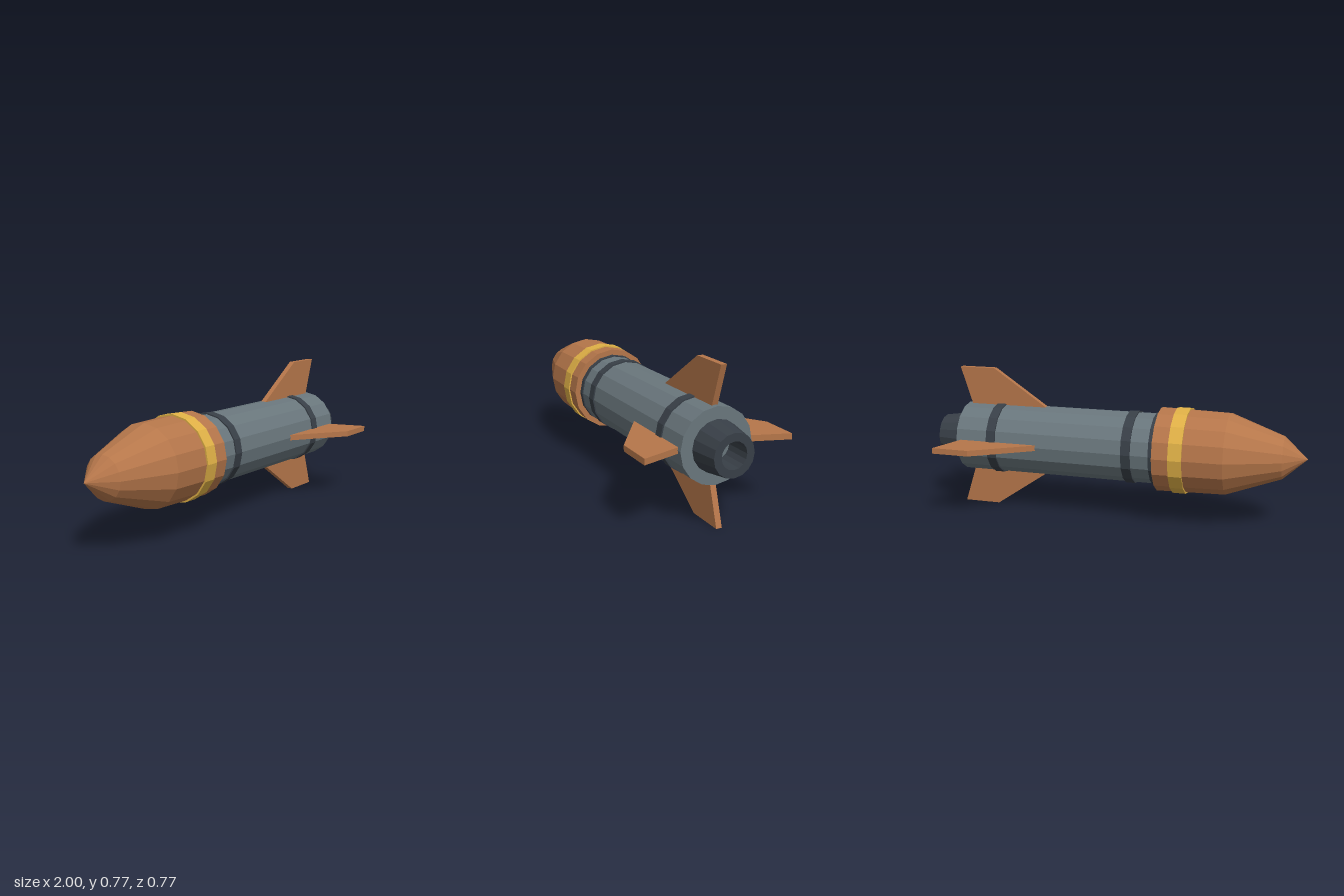
import * as THREE from 'three';

const SIDES = 16;
const AXIS_Y = 0.385;

const material = (color) => new THREE.MeshStandardMaterial({ color, flatShading: true });
const copper = material(0xb5764a);
const steel = material(0x69767c);
const dark = material(0x383f47);
const gold = material(0xdfb046);

// Turned part around the x axis; profile is [x, radius] from nose to tail
function turned(name, profile, mat) {
  const points = profile.map(([x, r]) => new THREE.Vector2(r, x));
  const mesh = new THREE.Mesh(new THREE.LatheGeometry(points, SIDES), mat);
  mesh.rotation.z = -Math.PI / 2;
  mesh.name = name;
  return mesh;
}

// Closed band wrapped around the hull
const band = (name, x0, x1, r, inner, mat) =>
  turned(name, [[x0, inner], [x0, r], [x1, r], [x1, inner]], mat);

export function createModel() {
  const model = new THREE.Group();
  model.name = 'rocket';
  const hull = new THREE.Group();
  hull.name = 'hull';
  hull.position.y = AXIS_Y;
  model.add(hull);

  // Pointed head with its gold band
  hull.add(turned('noseCone', [
    [-1, 0], [-0.88, 0.11], [-0.6, 0.213], [-0.24, 0.222], [-0.24, 0],
  ], copper));
  hull.add(band('goldBand', -0.395, -0.325, 0.227, 0.2, gold));

  // Cylindrical body and dark rings
  hull.add(turned('body', [[-0.26, 0], [-0.26, 0.187], [0.855, 0.187], [0.855, 0]], steel));
  hull.add(band('neckCollar', -0.245, -0.215, 0.193, 0.17, dark));
  hull.add(band('frontRing', -0.12, -0.07, 0.194, 0.17, dark));
  hull.add(band('rearRing', 0.63, 0.68, 0.194, 0.17, dark));

  // Hollow tapered nozzle
  hull.add(turned('nozzle', [
    [0.855, 0.127], [1, 0.105], [1, 0.066], [0.855, 0.066],
  ], dark));

  // Four swept fins
  const outline = new THREE.Shape([
    [0.385, 0.175], [0.827, 0.175], [0.895, 0.385], [0.695, 0.385],
  ].map(([x, y]) => new THREE.Vector2(x, y)));
  const finGeometry = new THREE.ExtrudeGeometry(outline, { depth: 0.03, bevelEnabled: false });
  finGeometry.translate(0, 0, -0.015);
  ['topFin', 'frontFin', 'bottomFin', 'backFin'].forEach((name, i) => {
    const fin = new THREE.Mesh(finGeometry, copper);
    fin.name = name;
    fin.rotation.x = i * Math.PI / 2;
    hull.add(fin);
  });

  return model;
}
